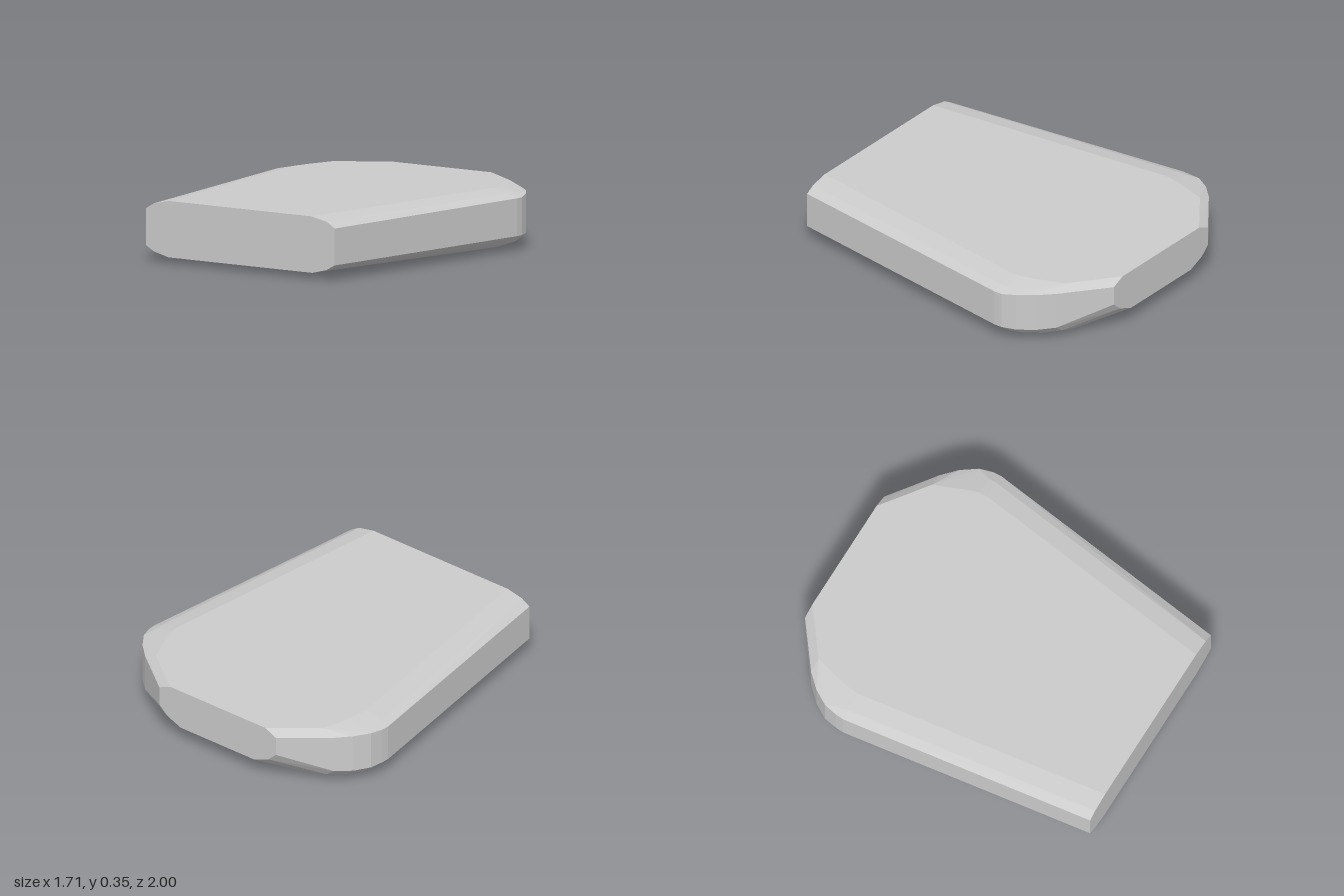
import * as THREE from 'three';
import { ConvexGeometry } from 'three/addons/geometries/ConvexGeometry.js';

// Cross-sections from front to back:
// z, right edge, left edge, bottom, top, lower side, upper side
const SECTIONS = [
  [1.0, 0.655, -0.645, 0.034, 0.355, 0.09, 0.3],
  [-0.5, 0.85, -0.855, 0.008, 0.346, 0.085, 0.3],
  [-0.55, 0.848, -0.852, 0.007, 0.345, 0.085, 0.3],
  [-0.63, 0.82, -0.838, 0.006, 0.344, 0.085, 0.31],
  [-0.72, 0.755, -0.785, 0.006, 0.343, 0.085, 0.312],
  [-0.8, 0.67, -0.71, 0.014, 0.342, 0.09, 0.31],
  [-1.0, 0.4, -0.45, 0.098, 0.338, 0.19, 0.303],
];

// Chamfered half-profile on one side of a section
function sidePoints([z, right, left, bottom, top, low, high], side) {
  const edge = side > 0 ? right : left;
  const taper = z < -0.75 ? 0.5 : 1; // tighter upper chamfer near the back
  return [
    [0.16 * taper, top],
    [0.055 * taper, top - 0.022],
    [0, high],
    [0, low],
    [0.055, bottom + (low - bottom) * 0.45],
    [0.155, bottom],
  ].map(([inset, y]) => new THREE.Vector3(edge - side * inset, y, z));
}

export function createModel() {
  const group = new THREE.Group();
  const points = [];
  for (const section of SECTIONS) {
    for (const side of [1, -1]) points.push(...sidePoints(section, side));
  }
  // Lowest point of the underside
  points.push(new THREE.Vector3(0.55, 0, -0.74));

  // Faceted tapering slab
  const slab = new THREE.Mesh(
    new ConvexGeometry(points),
    new THREE.MeshStandardMaterial({ color: 0xcccccc, flatShading: true })
  );
  slab.name = 'taperedSlab';
  group.add(slab);
  return group;
}
